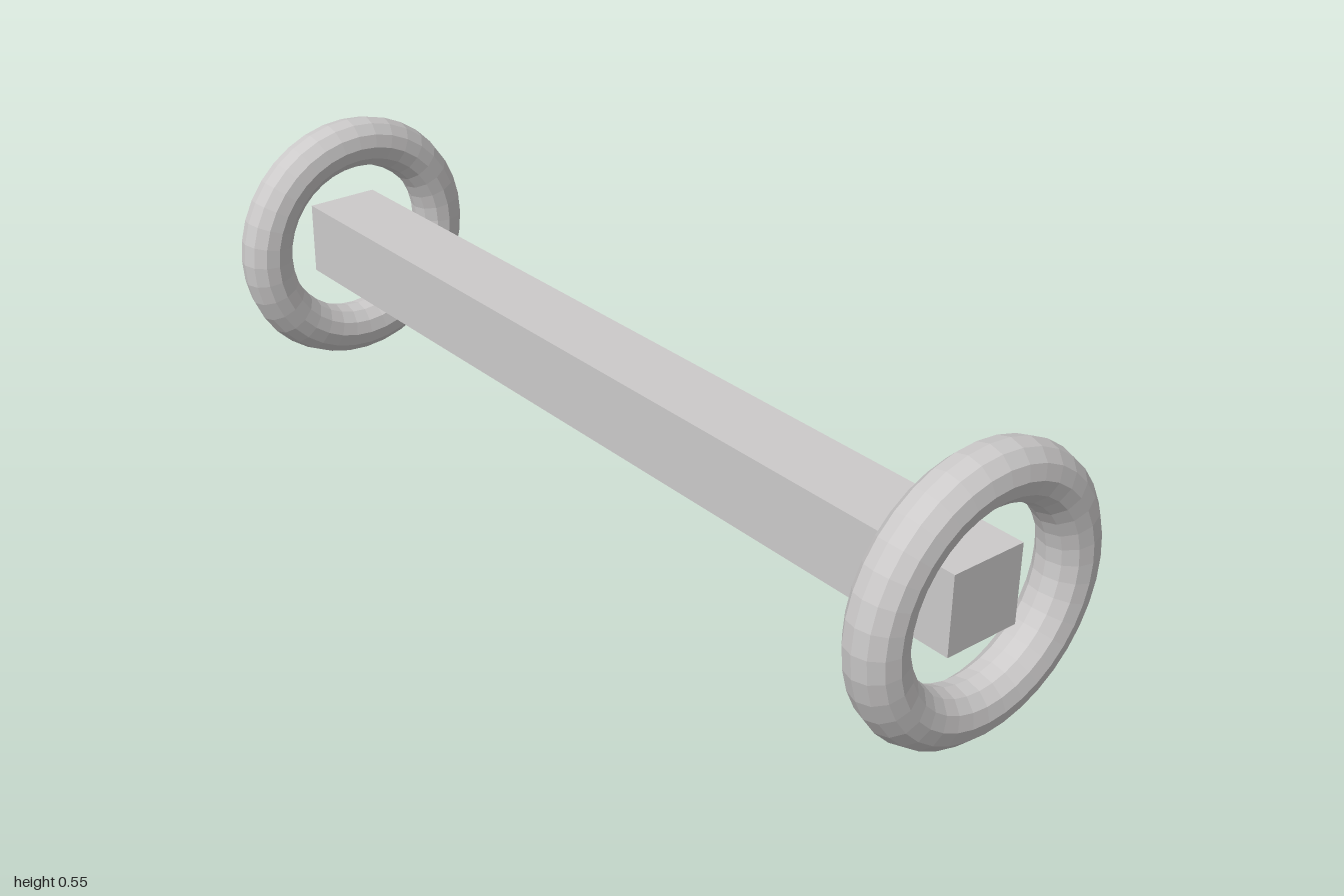
import * as THREE from 'three';

export function createModel() {
  const group = new THREE.Group();
  const grey = new THREE.MeshStandardMaterial({ color: 0xcccaca, flatShading: true });
  grey.name = 'light grey';
  const centreY = 0.276;

  // Long square bar whose ends sit inside the rings
  const bar = new THREE.Mesh(new THREE.BoxGeometry(0.159, 0.156, 1.954), grey);
  bar.name = 'bar';
  bar.position.set(0, centreY, -0.01);
  group.add(bar);

  // Upright ring around each end of the bar
  const ringGeometry = new THREE.TorusGeometry(0.2225, 0.055, 12, 36);
  ringGeometry.scale(1, 0.992, 1);
  for (const [name, side] of [['frontRing', 1], ['backRing', -1]]) {
    const ring = new THREE.Mesh(ringGeometry, grey);
    ring.name = name;
    ring.position.set(0, centreY, side * 0.945);
    group.add(ring);
  }
  return group;
}
